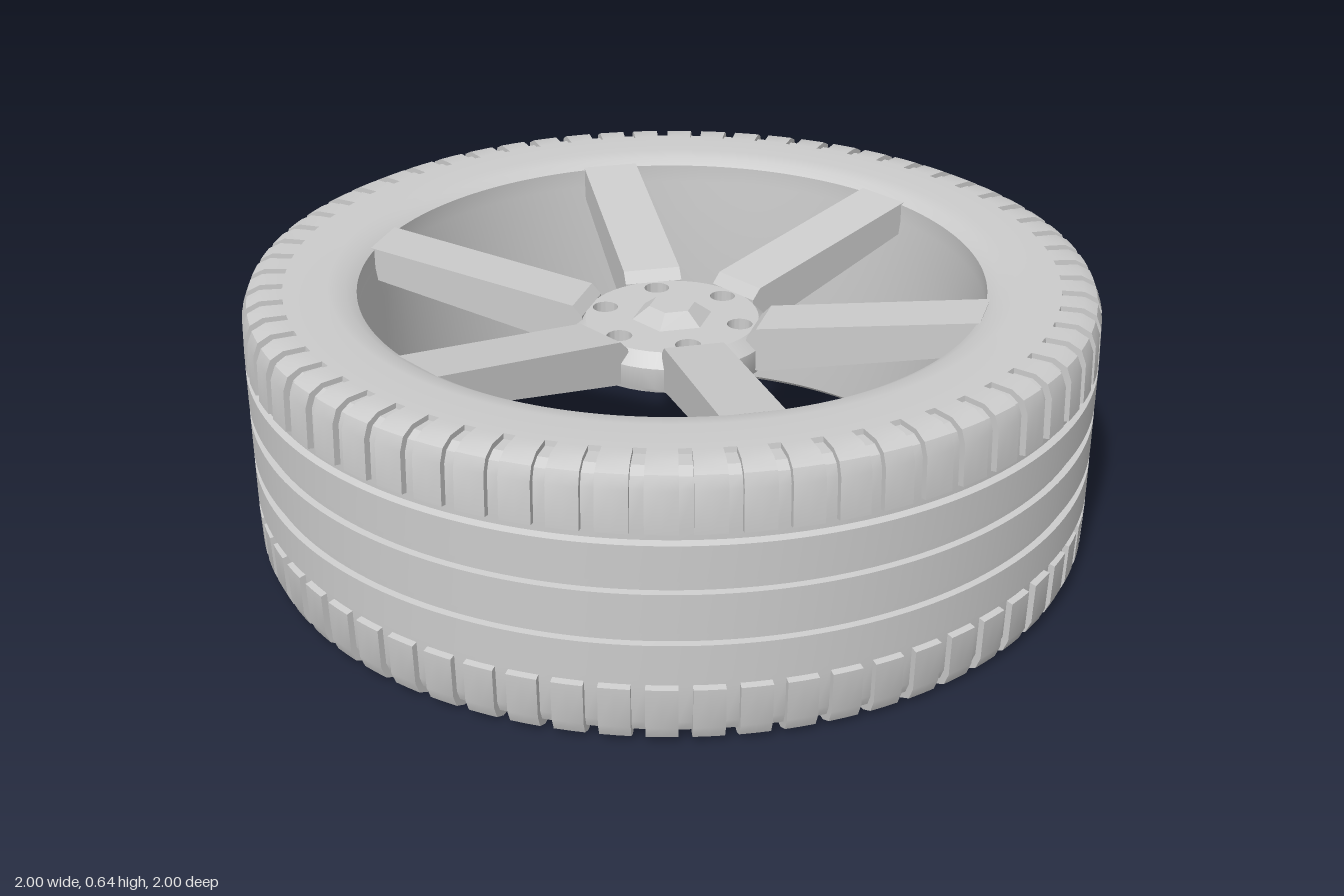
import * as THREE from 'three';
import { toCreasedNormals } from 'three/addons/utils/BufferGeometryUtils.js';

const H = 0.645;        // wheel width
const BLOCKS = 64;      // tread blocks per shoulder
const material = new THREE.MeshStandardMaterial({ color: 0xcccccc });

function add(parent, name, geometry, creased = true) {
  const mesh = new THREE.Mesh(creased ? toCreasedNormals(geometry, 0.5) : geometry, material);
  mesh.name = name;
  parent.add(mesh);
  return mesh;
}

// Upper half of the tread: [radius, y] on a block, then [radius, y] inside a cross groove
const tread = [
  [0.80, 0.645, 0.80, 0.645], [0.903, 0.645, 0.903, 0.645], [0.905, 0.645, 0.905, 0.633],
  [0.955, 0.645, 0.95, 0.633], [0.985, 0.63, 0.972, 0.62], [0.997, 0.60, 0.982, 0.595],
  [1, 0.505, 0.985, 0.505], [0.985, 0.502, 0.985, 0.502], [0.985, 0.485, 0.985, 0.485],
  [1, 0.48, 1, 0.48], [1, 0.397, 1, 0.397], [0.985, 0.395, 0.985, 0.395],
  [0.985, 0.37, 0.985, 0.37], [1, 0.368, 1, 0.368],
];

// Closed section of tyre and rim, running outward over the top, down, and back up the barrel
function section(groove) {
  const k = groove ? 2 : 0;
  const upper = tread.map(p => [p[k], p[k + 1]]);
  const lower = upper.map(([r, y]) => [r, H - y]).reverse();
  return [[0.76, 0.64], ...upper, ...lower, [0.75, 0.002], [0.735, 0.015],
    [0.722, 0.5], [0.735, 0.58], [0.735, 0.625]];
}

// Sweep the section around y, switching between block and groove shapes
function tyreGeometry() {
  const block = section(false), groove = section(true), rings = [];
  const step = Math.PI * 2 / BLOCKS, half = 0.015;
  for (let i = 0; i <= BLOCKS; i++) {
    const t = i * step;
    rings.push([t - half, groove], [t + half, groove]);
    if (i < BLOCKS) rings.push([t + half, block], [t + step / 2, block], [t + step - half, block]);
  }
  const pos = [];
  const point = ([t, s], j) => {
    const [r, y] = s[j % s.length];
    return new THREE.Vector3(r * Math.sin(t), y, r * Math.cos(t));
  };
  const triangle = (a, b, c) => {
    const area = b.clone().sub(a).cross(c.clone().sub(a)).length();
    if (area > 1e-8) for (const p of [a, b, c]) pos.push(p.x, p.y, p.z);
  };
  for (let i = 0; i < rings.length - 2; i++) {
    for (let j = 0; j < block.length; j++) {
      const a = point(rings[i], j), b = point(rings[i + 1], j);
      const c = point(rings[i], j + 1), d = point(rings[i + 1], j + 1);
      triangle(a, c, b);
      triangle(b, c, d);
    }
  }
  const g = new THREE.BufferGeometry();
  g.setAttribute('position', new THREE.Float32BufferAttribute(pos, 3));
  return g;
}

// Spoke side profile, sloping down from rim to hub
function spokeGeometry() {
  const shape = new THREE.Shape([
    [0.2, 0.44], [0.24, 0.44], [0.74, 0.55], [0.74, 0.63], [0.225, 0.545], [0.202, 0.52],
  ].map(([x, y]) => new THREE.Vector2(x, y)));
  const g = new THREE.ExtrudeGeometry(shape, { depth: 0.14, bevelEnabled: false });
  return g.translate(0, 0, -0.07);
}

// Hub disc pierced by six bolt holes
function hubGeometry() {
  const shape = new THREE.Shape().absarc(0, 0, 0.206, 0, Math.PI * 2);
  for (let i = 0; i < 6; i++) {
    const a = Math.PI / 6 + i * Math.PI / 3;
    shape.holes.push(new THREE.Path().absarc(0.167 * Math.cos(a), 0.167 * Math.sin(a), 0.03, 0, Math.PI * 2, true));
  }
  const g = new THREE.ExtrudeGeometry(shape, { depth: 0.09, bevelEnabled: false, curveSegments: 24 });
  return g.rotateX(-Math.PI / 2).translate(0, 0.43, 0);
}

export function createModel() {
  const wheel = new THREE.Group();
  wheel.name = 'wheel';

  add(wheel, 'tyreAndRim', tyreGeometry());

  // Six spokes
  const spoke = spokeGeometry();
  for (let i = 0; i < 6; i++) {
    add(wheel, 'spoke', spoke).rotation.y = Math.PI / 2 + i * Math.PI / 3;
  }

  // Hub disc with a chamfered collar
  add(wheel, 'hub', hubGeometry());
  const collar = [[0.2, 0.43], [0.232, 0.43], [0.236, 0.44], [0.236, 0.49], [0.206, 0.52]];
  add(wheel, 'hubCollar', new THREE.LatheGeometry(collar.map(p => new THREE.Vector2(...p)), 48));

  // Hexagonal centre cap and its lower end
  const cap = add(wheel, 'centreCap', new THREE.CylinderGeometry(0.055, 0.096, 0.03, 6), false);
  cap.position.y = 0.535;
  const nut = add(wheel, 'centreNut', new THREE.CylinderGeometry(0.09, 0.09, 0.04, 6), false);
  nut.position.y = 0.415;
  for (const m of [cap, nut]) {
    m.rotation.y = Math.PI / 6;
    m.geometry = toCreasedNormals(m.geometry, 0.1);
  }
  return wheel;
}
